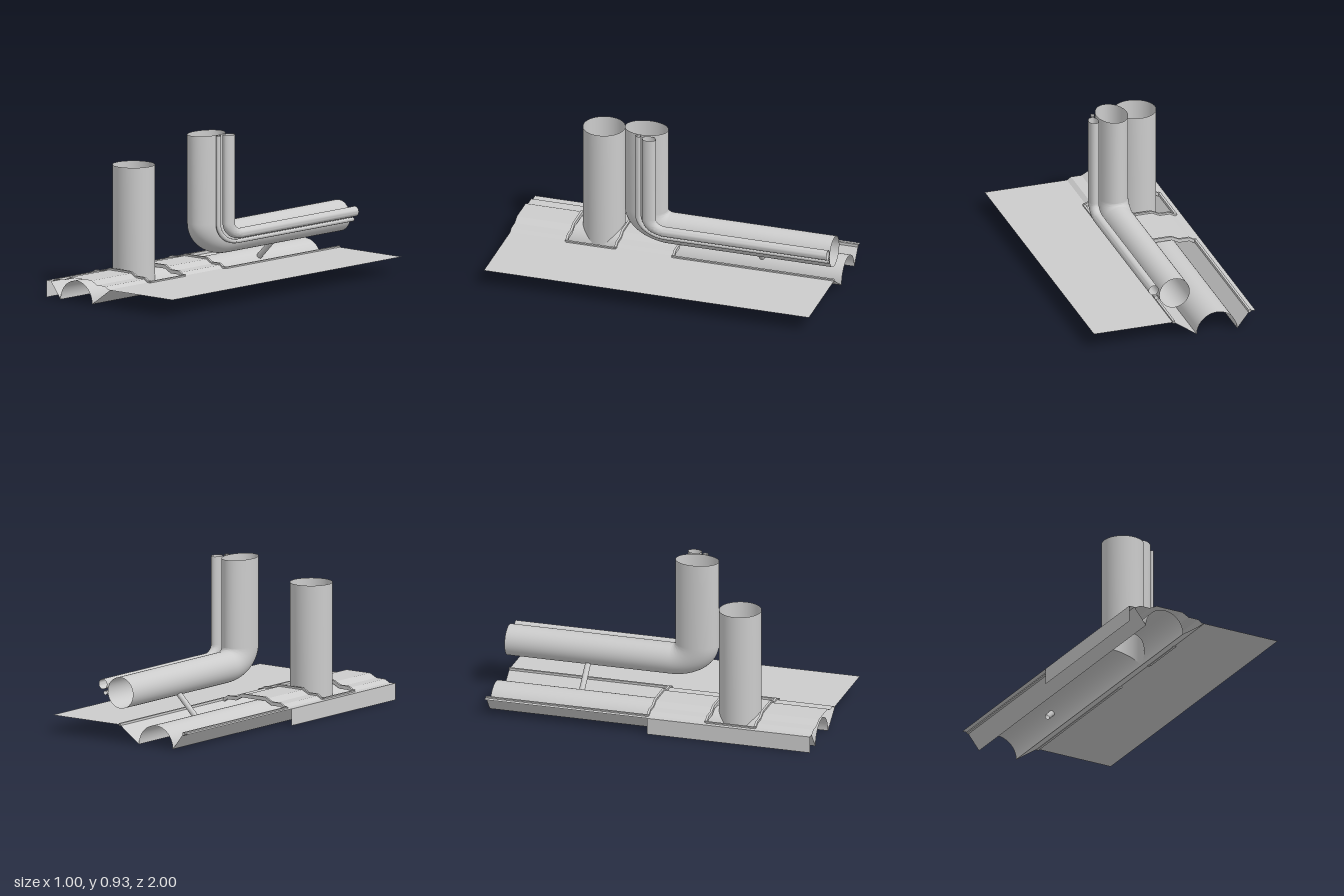
import * as THREE from 'three';
import { toCreasedNormals } from 'three/addons/utils/BufferGeometryUtils.js';

const material = new THREE.MeshStandardMaterial({ color: 0xcccccc, side: THREE.DoubleSide });

// Skin between rows of [x, y, z] points
function loft(rows, crease = 0.6) {
  const n = rows[0].length;
  const index = [];
  for (let r = 0; r < rows.length - 1; r++) {
    for (let i = 0; i < n - 1; i++) {
      const a = r * n + i, c = a + n;
      index.push(a, a + 1, c, a + 1, c + 1, c);
    }
  }
  const geo = new THREE.BufferGeometry();
  geo.setAttribute('position', new THREE.Float32BufferAttribute(rows.flat(2), 3));
  geo.setIndex(index);
  return toCreasedNormals(geo, crease);
}

const ring = (n, fn) => Array.from({ length: n + 1 }, (_, i) => fn((i / n) * Math.PI * 2));

export function createModel() {
  const model = new THREE.Group();
  const add = (name, geo, parent = model) => {
    const mesh = new THREE.Mesh(geo, material);
    mesh.name = name;
    parent.add(mesh);
    return mesh;
  };
  const group = (name) => {
    const g = new THREE.Group();
    g.name = name;
    model.add(g);
    return g;
  };

  const CX = -0.262, R = 0.125, CZ = 0.5;   // duct centre line, radius, chimney position
  const XL = -0.465, XR = 0.005, Y = 0.1;   // opening edges and sheet level

  // Stepped hump of the cover sheet, left edge to right edge of the opening
  const hump = [
    [XL, Y], [-0.455, Y], [-0.425, 0.117], [-0.362, 0.117], [-0.315, 0.14],
    [-0.142, 0.14], [-0.1, 0.117], [-0.035, 0.117], [-0.01, Y], [XR, Y],
  ];
  const strip = (profile, z0, z1) =>
    loft([z0, z1].map((z) => profile.map(([x, y]) => [x, y, z])), 0.15);

  // Cover sheet with its two openings and the outer side wall
  const sheet = group('coverSheet');
  add('flatSheet', strip([[XR, Y], [0.5, Y]], 1, -1), sheet);
  add('sideStrip', strip([[-0.5, Y], [XL, Y]], 1, -1), sheet);
  add('frontHump', strip(hump, 1, 0.65), sheet);
  add('middleHump', strip(hump, 0.35, 0), sheet);
  add('sideWall', strip([[-0.5, 0], [-0.5, Y]], 1, 0), sheet);

  // Raised rims around the openings
  const rims = group('openingRims');
  const T = 0.011, W = 0.014;
  const crossRim = (name, z) => {
    const outline = [
      ...hump.map(([x, y]) => new THREE.Vector2(x, y - T)),
      ...hump.map(([x, y]) => new THREE.Vector2(x, y + T)).reverse(),
    ];
    const geo = new THREE.ExtrudeGeometry(new THREE.Shape(outline), { depth: W, bevelEnabled: false });
    geo.translate(0, 0, z - W / 2);
    add(name, geo, rims);
  };
  crossRim('frontRim', 0.65);
  crossRim('middleRim', 0.35);
  crossRim('rearRim', -W / 2);
  for (const x of [XL, XR]) {
    for (const [z0, z1] of [[0.35, 0.65], [-1, 0]]) {
      const rim = add('sideRim', new THREE.BoxGeometry(W, 2 * T * 0.75, z1 - z0), rims);
      rim.position.set(x, Y, (z0 + z1) / 2);
    }
  }

  // Sloping sides of the tray below the sheet
  const tray = group('tray');
  add('leftSlope', strip([[XL, Y], [CX - R, 0]], 1, -1), tray);
  add('rightSlope', strip([[CX + R, 0], [XR, Y]], 1, -1), tray);

  // Half-round duct, open under the chimney
  const arch = Array.from({ length: 33 }, (_, i) => {
    const a = Math.PI * (1 - i / 32);
    return [CX + R * Math.cos(a), R * Math.sin(a)];
  });
  const level = (z) => arch.map(([x, y]) => [x, y, z]);
  // the hole's depth equals the arch height, as both radii match
  const holeEdge = (side) => arch.map(([x, y]) => [x, y, CZ + side * y]);
  add('frontDuct', loft([level(1), holeEdge(1)]), tray);
  add('rearDuct', loft([holeEdge(-1), level(-1)]), tray);

  // Chimney, its foot cut to sit on the duct
  const chimneyRow = (height) => ring(64, (a) => {
    const x = R * Math.cos(a), z = R * Math.sin(a);
    return [CX + x, height ?? Math.abs(z), CZ - z];
  });
  add('chimney', loft([chimneyRow(), chimneyRow(0.755)]));

  // Pipes run along z, then bend upward about a common pivot with a stretched section
  const PIVOT = 0.4, STRETCH = 1.41, TOP = 0.927, STEPS = 16;
  const bentPipe = (name, cx, cy, r, sides) => {
    const section = ring(sides, (a) => [cx + r * Math.cos(a), cy + r * Math.sin(a)]);
    const rows = [section.map(([x, y]) => [x, y, -1])];
    for (let i = 0; i <= STEPS; i++) {
      const t = (i / STEPS) * Math.PI / 2;
      rows.push(section.map(([x, y]) => {
        const d = PIVOT - y;
        return [x, PIVOT - d * Math.cos(t), STRETCH * d * Math.sin(t)];
      }));
    }
    rows.push(section.map(([x, y]) => [x, TOP, STRETCH * (PIVOT - y)]));
    add(name, loft(rows, 0.9));
  };
  bentPipe('mainPipe', 0, 0.29, 0.093, 40);
  bentPipe('secondPipe', 0.13, 0.328, 0.03, 24);
  bentPipe('thinPipe', 0.112, 0.278, 0.0125, 16);

  // Slanting branch from the main pipe into the duct
  const from = new THREE.Vector3(-0.21, 0.055, -0.5);
  const to = new THREE.Vector3(-0.03, 0.235, -0.5);
  const branch = add('branchPipe', new THREE.CylinderGeometry(0.017, 0.017, from.distanceTo(to), 20, 1, true));
  branch.position.copy(from).lerp(to, 0.5);
  branch.quaternion.setFromUnitVectors(new THREE.Vector3(0, 1, 0), to.clone().sub(from).normalize());

  return model;
}
